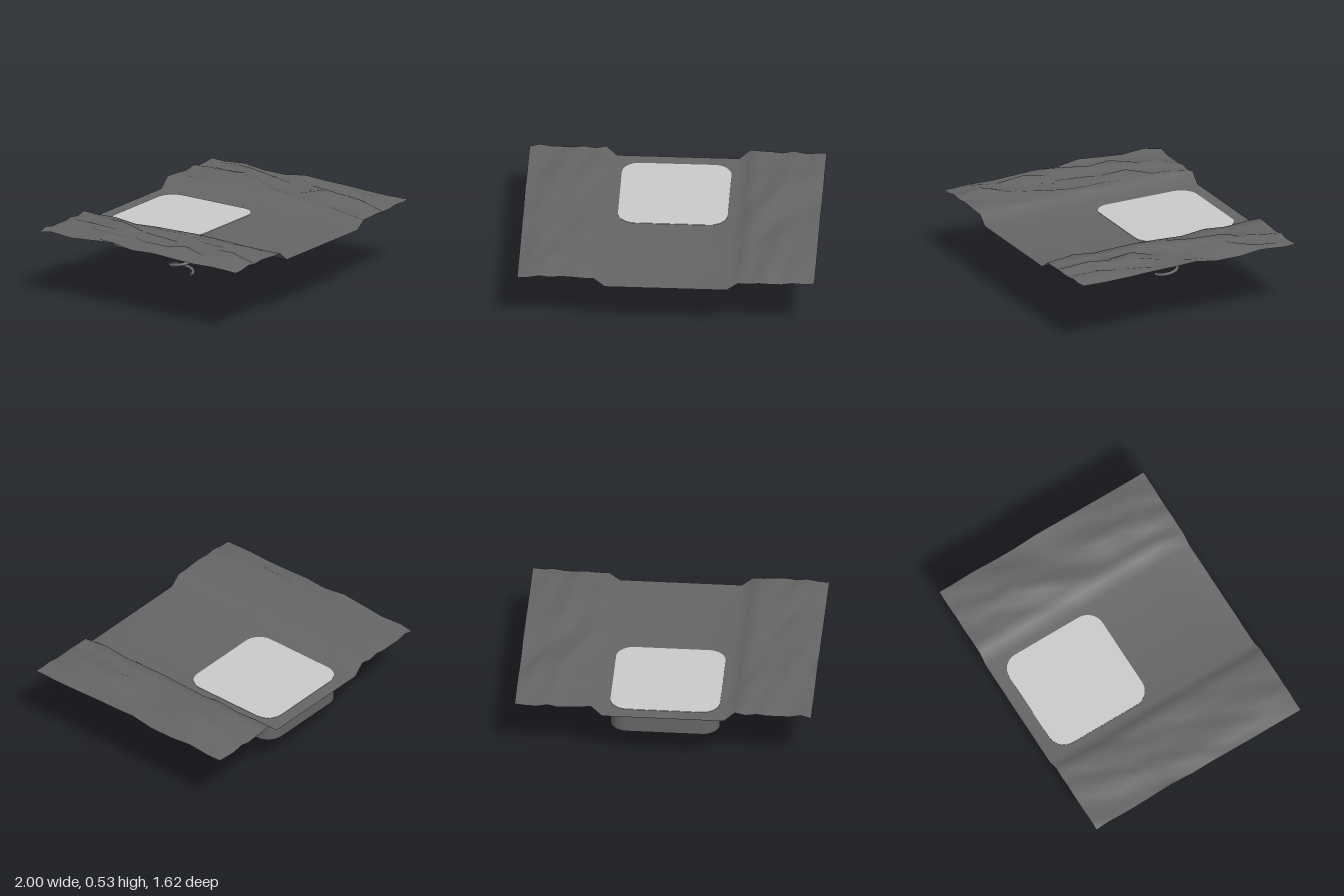
import * as THREE from 'three';
import { toCreasedNormals } from 'three/addons/utils/BufferGeometryUtils.js';

const dark = new THREE.MeshStandardMaterial({ color: 0x666666 });
const darkSheet = new THREE.MeshStandardMaterial({ color: 0x666666, side: THREE.DoubleSide });
const light = new THREE.MeshStandardMaterial({ color: 0xcccccc });

function addPart(group, name, geometry, material) {
  const mesh = new THREE.Mesh(geometry, material);
  mesh.name = name;
  group.add(mesh);
  return mesh;
}

function seededRandom(seed) {
  return () => {
    seed = (seed * 16807) % 2147483647;
    return seed / 2147483647;
  };
}

// Thin ground: a flat lane along z with gently uneven raised banks on both sides
function groundGeometry() {
  const random = seededRandom(4721);
  const laneHalf = 0.41, laneY = 0.417, bankLow = 0.466;
  const rows = [-0.81, -0.71, -0.545, -0.38, -0.21, -0.045, 0.12, 0.29, 0.455, 0.62, 0.81];
  // Highest point allowed in each row, and in each bank column counted from the lane
  const rowTops = [0.49, 0.5, 0.51, 0.535, 0.535, 0.505, 0.535, 0.535, 0.505, 0.535, 0.49];
  const columnTops = {
    '-1': [0.495, 0.505, 0.535, 0.51, 0.535, 0.535, 0.505, 0.505],
    '1': [0.495, 0.5, 0.51, 0.535, 0.52, 0.535, 0.505, 0.505],
  };
  const bankSteps = 8, stepWidth = (1 - laneHalf) / bankSteps;
  const columns = [];
  for (let j = bankSteps; j >= 0; j--) columns.push({ side: -1, step: j });
  for (let j = 0; j <= bankSteps; j++) columns.push({ side: 1, step: j });

  const geometry = new THREE.PlaneGeometry(2, 1.62, columns.length - 1, rows.length - 1);
  const position = geometry.attributes.position;
  rows.forEach((z, r) => columns.forEach(({ side, step }, c) => {
    let y = laneY;
    if (step > 0) {
      const top = Math.min(rowTops[r], columnTops[side][step - 1]);
      y = bankLow + (top - bankLow) * (0.15 + 0.85 * random());
    }
    position.setXYZ(r * columns.length + c, side * (laneHalf + step * stepWidth), y, z);
  }));
  geometry.computeVertexNormals();
  return geometry;
}

// Square block with rounded upright corners, standing on y = 0
function padGeometry(half, radius, height) {
  const s = new THREE.Shape();
  const inner = half - radius;
  s.absarc(inner, inner, radius, 0, Math.PI / 2);
  s.absarc(-inner, inner, radius, Math.PI / 2, Math.PI);
  s.absarc(-inner, -inner, radius, Math.PI, Math.PI * 1.5);
  s.absarc(inner, -inner, radius, Math.PI * 1.5, Math.PI * 2);
  s.closePath();
  const geometry = new THREE.ExtrudeGeometry(s, { depth: height, bevelEnabled: false, curveSegments: 12 });
  geometry.rotateX(-Math.PI / 2);
  return toCreasedNormals(geometry, 0.6);
}

// Coil path rising from its front point
class Helix extends THREE.Curve {
  constructor(radius, bottom, pitch, turns) {
    super();
    Object.assign(this, { radius, bottom, pitch, turns });
  }
  getPoint(t, target = new THREE.Vector3()) {
    const angle = t * this.turns * Math.PI * 2;
    return target.set(
      this.radius * Math.sin(angle),
      this.bottom + t * this.turns * this.pitch,
      this.radius * Math.cos(angle)
    );
  }
}

export function createModel() {
  const group = new THREE.Group();
  group.name = 'springPadInGround';

  addPart(group, 'ground', groundGeometry(), darkSheet);

  // Pad body under the lane, with a light plate set into its top
  addPart(group, 'padBody', padGeometry(0.37, 0.12, 0.176), dark).position.set(0, 0.24, -0.35);
  addPart(group, 'padTopPlate', padGeometry(0.369, 0.119, 0.04), light).position.set(0, 0.38, -0.35);

  // Coil spring with closed ends under the pad
  const spring = new THREE.Group();
  spring.name = 'spring';
  spring.position.z = -0.35;
  const wire = 0.012;
  const path = new Helix(0.077, wire, 0.095, 2.45);
  addPart(spring, 'coil', new THREE.TubeGeometry(path, 120, wire, 10, false), dark);
  for (const t of [0, 1]) {
    const cap = addPart(spring, 'coilEnd', new THREE.CircleGeometry(wire, 10), dark);
    const outward = path.getTangent(t).multiplyScalar(t ? 1 : -1);
    cap.position.copy(path.getPoint(t));
    cap.quaternion.setFromUnitVectors(new THREE.Vector3(0, 0, 1), outward);
  }
  group.add(spring);

  return group;
}
